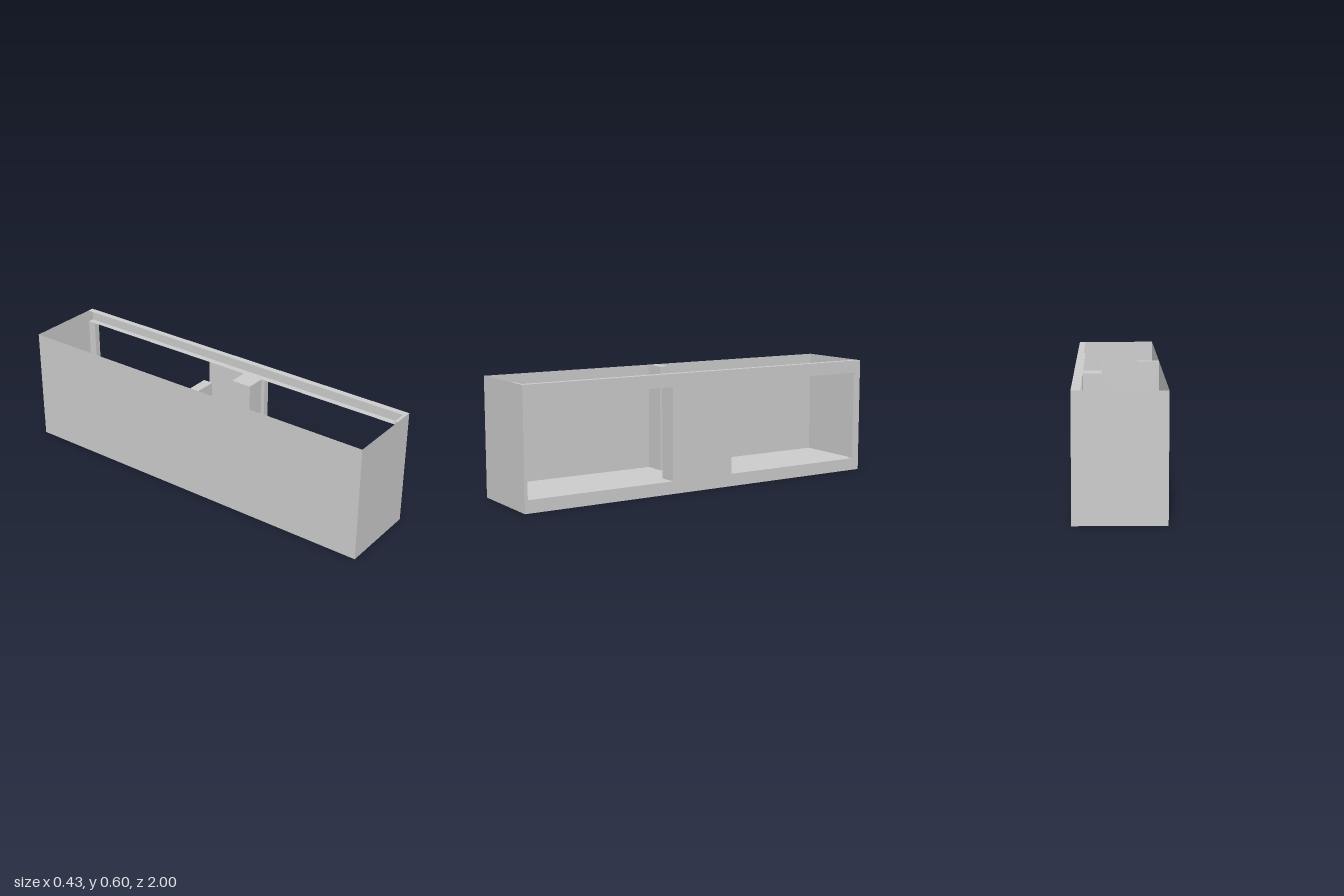
import * as THREE from 'three';

export function createModel() {
  const group = new THREE.Group();
  const mat = new THREE.MeshStandardMaterial({ color: 0xcccccc, flatShading: true, side: THREE.DoubleSide });

  const W = 0.2125, H = 0.597, L = 1; // half width, height, half length
  const FLOOR = 0.055, SILL = 0.064, HEAD = 0.532, INNER = 0.18;

  function add(name, geometry) {
    const mesh = new THREE.Mesh(geometry, mat);
    mesh.name = name;
    group.add(mesh);
    return mesh;
  }
  // solid block given by its limits on each axis
  function block(name, x0, x1, y0, y1, z0, z1) {
    const g = new THREE.BoxGeometry(x1 - x0, y1 - y0, z1 - z0);
    g.translate((x0 + x1) / 2, (y0 + y1) / 2, (z0 + z1) / 2);
    return add(name, g);
  }
  // thin sheets: across x (ends), along z (sides), and flat
  function endSheet(name, z, y0, y1) {
    const g = new THREE.PlaneGeometry(2 * W, y1 - y0);
    if (z < 0) g.rotateY(Math.PI);
    g.translate(0, (y0 + y1) / 2, z);
    add(name, g);
  }
  function sideSheet(name, x, y0, y1) {
    const g = new THREE.PlaneGeometry(2 * L, y1 - y0);
    g.rotateY(Math.sign(x) * Math.PI / 2);
    g.translate(x, (y0 + y1) / 2, 0);
    add(name, g);
  }
  function flatSheet(name, y, x0, x1) {
    const g = new THREE.PlaneGeometry(x1 - x0, 2 * L);
    g.rotateX(-Math.PI / 2);
    g.translate((x0 + x1) / 2, y, 0);
    add(name, g);
  }

  // raised floor and plain outer walls, open at the top
  block('floor', -W, INNER, 0, FLOOR, -L, L);
  sideSheet('rightWall', -W, FLOOR, H);
  endSheet('frontWall', L, FLOOR, H);
  endSheet('backWall', -L, FLOOR, H);

  // windowed wall up to the window heads: outline as [z, y]
  const outline = [
    [L, 0], [-L, 0], [-L, HEAD],
    [-0.957, HEAD], [-0.957, SILL], [-0.155, SILL], [-0.155, HEAD],
    [0.195, HEAD], [0.195, SILL], [0.984, SILL], [0.984, HEAD], [L, HEAD],
  ];
  const shape = new THREE.Shape(outline.map(([z, y]) => new THREE.Vector2(-z, y)));
  const wall = new THREE.ExtrudeGeometry(shape, { depth: W - INNER, bevelEnabled: false });
  wall.rotateY(Math.PI / 2);
  wall.translate(INNER, 0, 0);
  add('windowWall', wall);

  // channel above the windows, open towards the inside
  sideSheet('beamFace', W, HEAD, H);
  flatSheet('beamTop', H, INNER, W);
  flatSheet('windowHead', HEAD, INNER, W);

  // inner posts
  block('rightPost', -W, -0.1, FLOOR, H, 0.025, 0.075);
  block('leftPost', 0.08, INNER, FLOOR, HEAD, 0.065, 0.175);
  block('cornerPilaster', 0.1, INNER, FLOOR, H, 0.985, L);

  return group;
}
